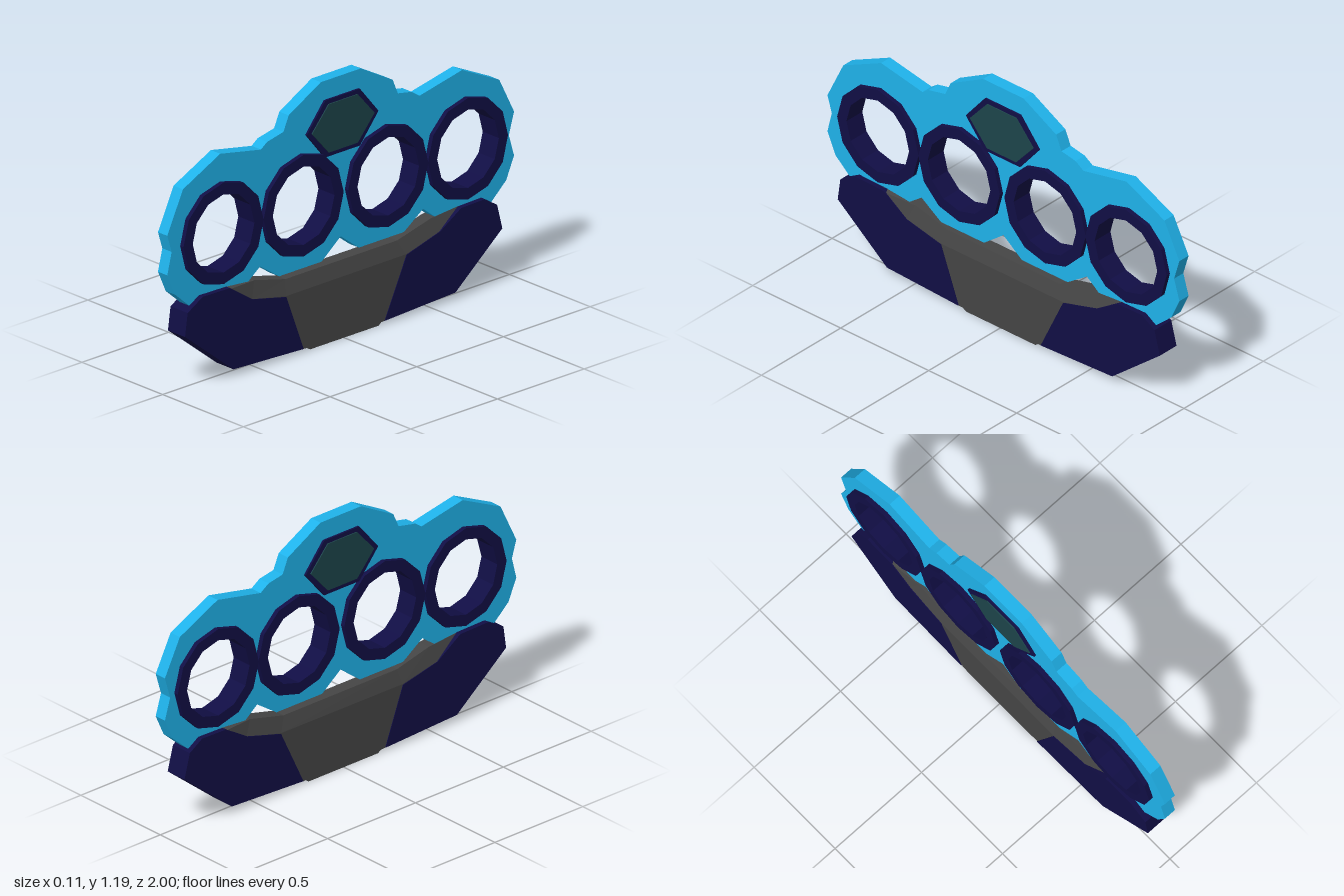
import * as THREE from 'three';

const mat = (color) => new THREE.MeshStandardMaterial({ color, flatShading: true });
const BLUE = mat(0x1fb2ea), NAVY = mat(0x110e45), GREY = mat(0x454545), GEM = mat(0x1c444a);

const toVectors = (pts) => pts.map(([z, y]) => new THREE.Vector2(z, y));

// Regular polygon of [z, y] points with a corner on the z axis
const ngon = (z, y, r, n = 12) => Array.from({ length: n }, (_, i) => {
  const a = (i / n) * Math.PI * 2;
  return [z + r * Math.cos(a), y + r * Math.sin(a)];
});

// Plate drawn in the z-y plane, extruded symmetrically along x
function plate(name, material, outline, halfWidth, holes = []) {
  const shape = new THREE.Shape(toVectors(outline));
  holes.forEach((h) => shape.holes.push(new THREE.Path(toVectors(h))));
  const geo = new THREE.ExtrudeGeometry(shape, { depth: halfWidth * 2, bevelEnabled: false });
  geo.translate(0, 0, -halfWidth).rotateY(-Math.PI / 2);
  const mesh = new THREE.Mesh(geo, material);
  mesh.name = name;
  return mesh;
}

// Closed loft through rings of [x, y, z] points, running from +z to -z
function loft(name, material, rings) {
  const n = rings[0].length, last = rings.length - 1, index = [];
  for (let s = 0; s < last; s++) {
    for (let i = 0; i < n; i++) {
      const a = s * n + i, a2 = s * n + (i + 1) % n;
      index.push(a, a + n, a2 + n, a, a2 + n, a2);
    }
  }
  for (let i = 1; i < n - 1; i++) {
    index.push(0, i, i + 1, last * n, last * n + i + 1, last * n + i);
  }
  const geo = new THREE.BufferGeometry();
  geo.setAttribute('position', new THREE.Float32BufferAttribute(rings.flat(2), 3));
  geo.setIndex(index);
  const flat = geo.toNonIndexed();
  flat.computeVertexNormals();
  const mesh = new THREE.Mesh(flat, material);
  mesh.name = name;
  return mesh;
}

export function createModel() {
  const group = new THREE.Group();
  group.name = 'knuckleGuard';

  // Main plate with four finger holes
  const outline = [
    [1, 0.73], [0.975, 0.65], [1, 0.55], [0.955, 0.45], [0.87, 0.375], [0.56, 0.375],
    [0.465, 0.445], [0.355, 0.37], [0.11, 0.37], [0, 0.455], [-0.105, 0.375], [-0.365, 0.375],
    [-0.475, 0.45], [-0.57, 0.375], [-0.87, 0.375], [-0.955, 0.45], [-1, 0.55], [-0.97, 0.65],
    [-1, 0.75], [-0.915, 0.917], [-0.7, 1.02], [-0.455, 0.97], [-0.41, 1], [-0.33, 1.015],
    [-0.3, 1.085], [-0.115, 1.187], [0.115, 1.187], [0.3, 1.087], [0.33, 1.02], [0.425, 1],
    [0.46, 0.975], [0.695, 1.02], [0.91, 0.917],
  ];
  const fingers = [0.695, 0.233, -0.255, -0.715], fingerY = 0.664;
  group.add(plate('mainPlate', BLUE, outline, 0.029, fingers.map((z) => ngon(z, fingerY, 0.2))));

  // Finger rings
  fingers.forEach((z, i) => {
    group.add(plate(`fingerRing${i + 1}`, NAVY, ngon(z, fingerY, 0.231), 0.05, [ngon(z, fingerY, 0.178)]));
  });

  // Hexagonal gem and its frame
  const hexagon = (halfLength, halfTop, halfHeight) => [
    [halfLength, 0], [halfTop, halfHeight], [-halfTop, halfHeight],
    [-halfLength, 0], [-halfTop, -halfHeight], [halfTop, -halfHeight],
  ].map(([z, y]) => [z - 0.002, y + 0.972]);
  group.add(plate('gemFrame', NAVY, hexagon(0.207, 0.1, 0.129), 0.039));
  group.add(plate('gem', GEM, hexagon(0.18, 0.083, 0.11), 0.044));

  // Palm grip: each station gives [z, y] of the top edge, chamfer edge and bottom edge
  const stations = [
    [[0.68, 0.408], [0.66, 0.4], [0.5, 0.1]],
    [[0.5, 0.392], [0.53, 0.32], [0.4, 0.04]],
    [[0.32, 0.348], [0.335, 0.28], [0.225, 0.012]],
    [[-0.325, 0.348], [-0.357, 0.282], [-0.225, 0.012]],
    [[-0.517, 0.395], [-0.555, 0.33], [-0.4, 0.04]],
    [[-0.68, 0.408], [-0.67, 0.4], [-0.5, 0.1]],
  ];
  group.add(loft('palmGrip', GREY, stations.map(([t, c, b]) => [
    [0.05, b[1], b[0]], [0.05, c[1], c[0]], [0.03, t[1], t[0]],
    [-0.03, t[1], t[0]], [-0.05, c[1], c[0]], [-0.05, b[1], b[0]],
  ])));

  // Ridges along the underside of the grip
  for (const x of [-0.04, 0, 0.04]) {
    const ridge = plate('gripRidge', GREY, [[0.24, 0.03], [0.195, 0], [-0.2, 0], [-0.24, 0.03]], 0.009);
    ridge.position.x = x;
    group.add(ridge);
  }

  // End caps of the grip
  group.add(plate('frontGripCap', NAVY, [
    [0.818, 0.41], [0.66, 0.407], [0.53, 0.32], [0.335, 0.277],
    [0.235, 0.014], [0.64, 0.032], [0.92, 0.255], [0.905, 0.36],
  ], 0.053));
  group.add(plate('backGripCap', NAVY, [
    [-0.673, 0.407], [-0.81, 0.41], [-0.88, 0.365], [-0.91, 0.25],
    [-0.64, 0.032], [-0.233, 0.014], [-0.36, 0.28], [-0.55, 0.332],
  ], 0.053));

  return group;
}
